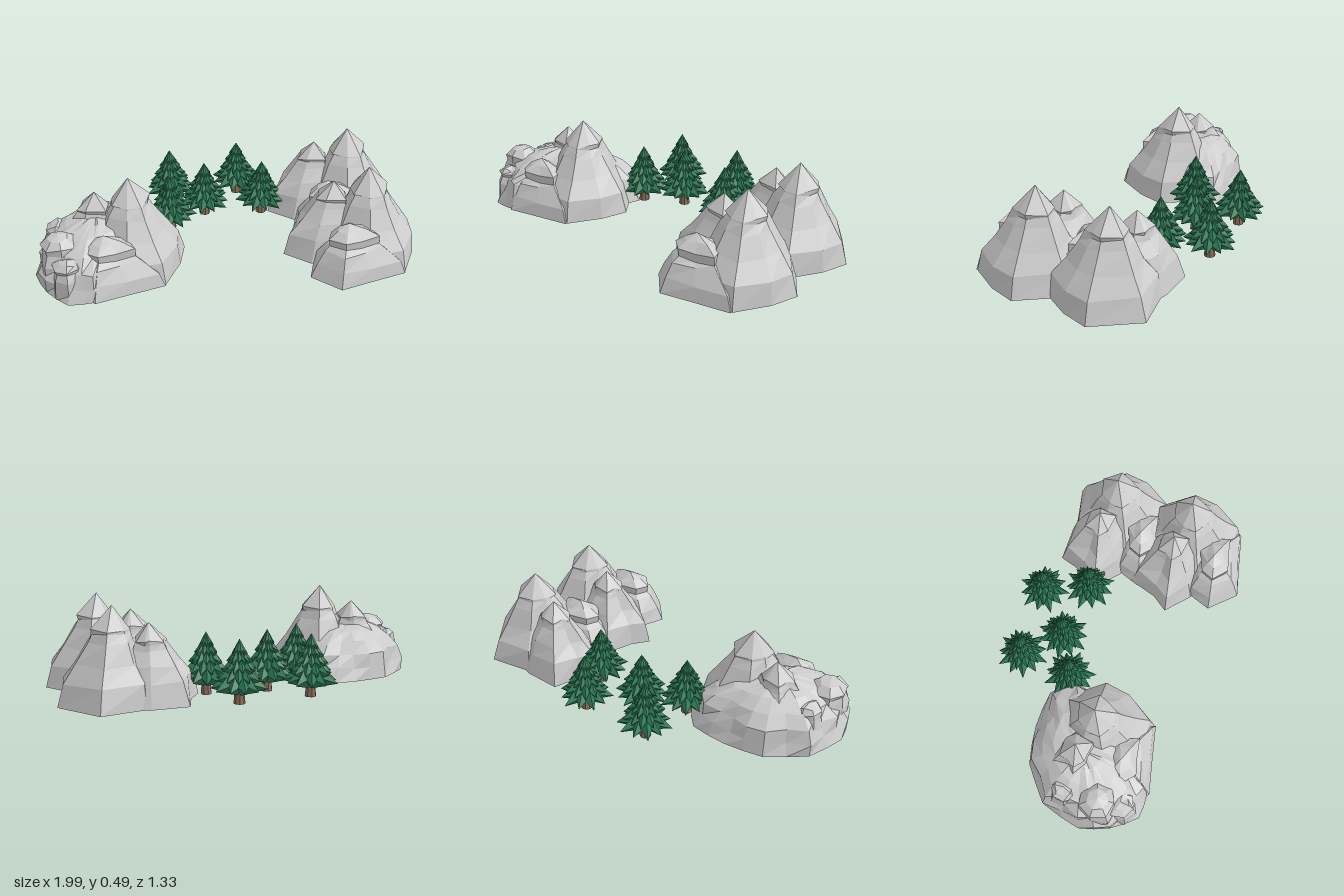
import * as THREE from 'three';

const rockMat = new THREE.MeshStandardMaterial({ color: 0xcccccc, flatShading: true });
const leafMat = new THREE.MeshStandardMaterial({ color: 0x2f7d58, flatShading: true });
const barkMat = new THREE.MeshStandardMaterial({ color: 0x8b6f5a, flatShading: true });

// Small seeded generator, returns -1..1
function seeded(seed) {
  return () => {
    seed = (seed * 16807) % 2147483647;
    return (seed / 2147483647) * 2 - 1;
  };
}

// Faceted solid from equal-length rings (listed bottom to top), closed by fans to two points
function loft(rings, bottom, top) {
  const pos = [];
  const tri = (...pts) => pts.forEach((p) => pos.push(p.x, p.y, p.z));
  const n = rings[0].length;
  for (let i = 0; i < n; i++) {
    const j = (i + 1) % n;
    tri(rings[0][i], rings[0][j], bottom);
    for (let k = 0; k < rings.length - 1; k++) {
      const lo = rings[k], hi = rings[k + 1];
      tri(lo[i], hi[i], lo[j]);
      tri(lo[j], hi[i], hi[j]);
    }
    const last = rings[rings.length - 1];
    tri(last[i], top, last[j]);
  }
  const g = new THREE.BufferGeometry();
  g.setAttribute('position', new THREE.Float32BufferAttribute(pos, 3));
  g.computeVertexNormals();
  return g;
}

// Insert edge midpoints, pushed slightly off the line
function subdivide(foot, cx, cz, push) {
  return foot.flatMap(([x, z], i) => {
    const [x2, z2] = foot[(i + 1) % foot.length];
    const mx = (x + x2) / 2, mz = (z + z2) / 2;
    return [[x, z], [mx + (mx - cx) * push, mz + (mz - cz) * push]];
  });
}

// Rock: a footprint shrinking towards its peak along a [height, scale] profile
function rock(name, foot, [px, py, pz], profile, jitter, seed) {
  const rnd = seeded(seed);
  const rings = profile.map(([y, s], k) =>
    foot.map(([x, z]) => {
      const f = k === 0 ? 1 : s * (1 + rnd() * jitter);
      const h = k === 0 ? 0 : y + rnd() * jitter * 0.12;
      return new THREE.Vector3(px + (x - px) * f, h, pz + (z - pz) * f);
    })
  );
  const geo = loft(rings, new THREE.Vector3(px, 0, pz), new THREE.Vector3(px, py, pz));
  const mesh = new THREE.Mesh(geo, rockMat);
  mesh.name = name;
  return mesh;
}

// Knobbly outcrop with an overhanging cap
function outcrop(name, x, z, r, h, seed) {
  const foot = Array.from({ length: 7 }, (_, i) => {
    const a = (i / 7) * Math.PI * 2 + seed;
    return [x + Math.cos(a) * r, z + Math.sin(a) * r];
  });
  return rock(name, foot, [x, h, z],
    [[0, 1], [h * 0.5, 0.95], [h * 0.72, 0.8], [h * 0.82, 0.85], [h * 0.94, 0.5]], 0.1, seed * 71);
}

// Mountain with a main peak at its origin, a side peak and a front spur
function mountain() {
  const g = new THREE.Group();
  g.name = 'mountain';
  const mainFoot = [[0.05, -0.285], [0.27, -0.105], [0.265, 0.05], [0.21, 0.24],
    [0.02, 0.3], [-0.2, 0.2], [-0.24, 0], [-0.17, -0.18]];
  const sideFoot = [[-0.13, -0.19], [0, -0.12], [0, 0.16], [-0.28, 0.2],
    [-0.43, 0.12], [-0.39, 0.02], [-0.38, -0.14], [-0.19, -0.19]];
  const spurFoot = [[-0.08, 0.05], [0.1, 0.08], [0.21, 0.25], [0.04, 0.335],
    [-0.125, 0.42], [-0.285, 0.32], [-0.27, 0.18]];
  g.add(
    rock('mainPeak', mainFoot, [0, 0.49, 0],
      [[0, 1], [0.12, 0.91], [0.21, 0.68], [0.31, 0.45], [0.355, 0.36], [0.37, 0.37]], 0.06, 11),
    rock('sidePeak', sideFoot, [-0.18, 0.4, 0],
      [[0, 1], [0.12, 0.88], [0.2, 0.65], [0.27, 0.42], [0.3, 0.36], [0.315, 0.37]], 0.07, 23),
    rock('frontSpur', spurFoot, [-0.1, 0.28, 0.22],
      [[0, 1], [0.08, 0.88], [0.15, 0.64], [0.17, 0.5], [0.215, 0.53], [0.25, 0.3]], 0.07, 37)
  );
  return g;
}

// Low rounded foothill wrapping the back and side of one mountain
function foothill() {
  const g = new THREE.Group();
  g.name = 'foothill';
  const foot = [[-0.46, -0.12], [-0.33, -0.03], [-0.36, 0.3], [-0.55, 0.55], [-0.64, 0.63],
    [-0.77, 0.66], [-0.9, 0.56], [-0.99, 0.42], [-0.985, 0.2], [-0.85, 0.01], [-0.66, -0.08]];
  g.add(
    rock('foothillBody', subdivide(foot, -0.68, 0.27, 0.015), [-0.68, 0.29, 0.25],
      [[0, 1], [0.07, 0.96], [0.14, 0.88], [0.2, 0.72], [0.25, 0.5], [0.28, 0.26]], 0.07, 53),
    outcrop('leftKnob', -0.84, 0.45, 0.11, 0.285, 3),
    outcrop('frontKnob', -0.78, 0.55, 0.09, 0.2, 5),
    outcrop('sideKnob', -0.88, 0.27, 0.09, 0.24, 8)
  );
  return g;
}

// Spiky branch tier: star-shaped rim with a point above and a shallow cone below
function tier(radius, y, top, twist) {
  const spikes = 11;
  const rim = Array.from({ length: spikes * 2 }, (_, i) => {
    const a = (i / (spikes * 2)) * Math.PI * 2 + twist;
    const tip = i % 2 === 0;
    const r = tip ? radius * (i % 4 ? 0.9 : 1) : radius * 0.6;
    return new THREE.Vector3(Math.cos(a) * r, tip ? y : y + 0.02, Math.sin(a) * r);
  });
  return loft([rim], new THREE.Vector3(0, y - 0.04, 0), new THREE.Vector3(0, top, 0));
}

function tree(x, z, turn) {
  const g = new THREE.Group();
  g.name = 'tree';
  const trunk = new THREE.Mesh(new THREE.CylinderGeometry(0.022, 0.03, 0.09, 8), barkMat);
  trunk.name = 'trunk';
  trunk.position.y = 0.045;
  g.add(trunk);
  [[0.147, 0.08, 0.22], [0.118, 0.125, 0.25], [0.092, 0.17, 0.28], [0.066, 0.215, 0.305], [0.042, 0.255, 0.328]]
    .forEach(([r, y, top], i) => {
      const m = new THREE.Mesh(tier(r, y, top, i * 0.285), leafMat);
      m.name = 'branchTier';
      g.add(m);
    });
  g.position.set(x, 0, z);
  g.rotation.y = turn;
  return g;
}

export function createModel() {
  const model = new THREE.Group();
  model.name = 'mountainsAndTrees';
  // Three mountains
  [[0.63, -0.385], [0.73, 0.03], [-0.51, 0.22]].forEach(([x, z]) => {
    const m = mountain();
    m.position.set(x, 0, z);
    model.add(m);
  });
  model.add(foothill());
  // Grove between them
  [[0.005, -0.475], [-0.37, -0.36], [-0.16, -0.23], [0.16, -0.27], [-0.335, -0.07]]
    .forEach(([x, z], i) => model.add(tree(x, z, i * 0.9)));
  return model;
}
